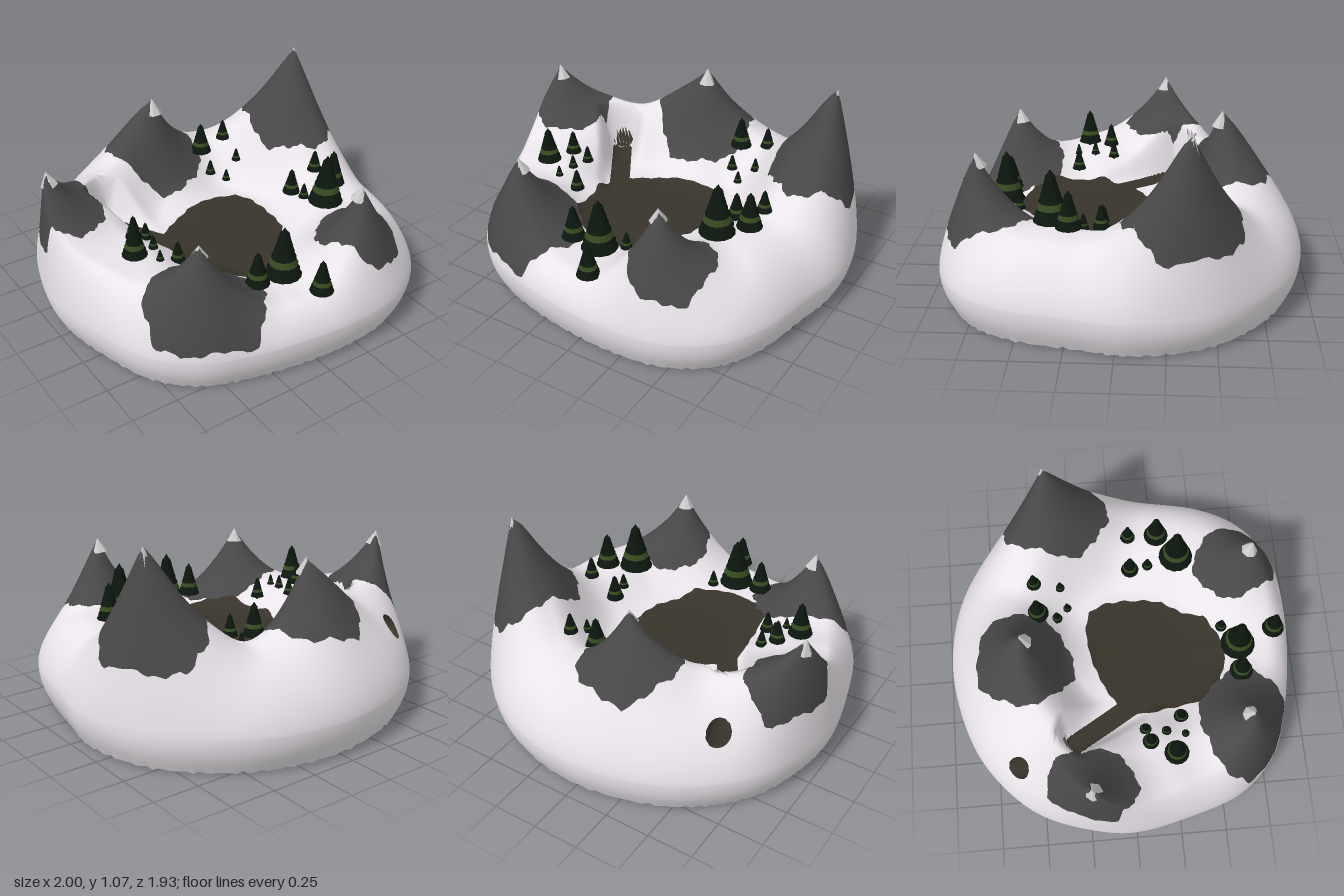
import * as THREE from 'three';

const mat = (color, flatShading = false) =>
  new THREE.MeshStandardMaterial({ color, flatShading, side: THREE.DoubleSide });
const smooth = THREE.MathUtils.smoothstep, lerp = THREE.MathUtils.lerp;

// Outline of the island: x, z, rim height, fraction of the radius where the outer wall starts
const OUTLINE = [
  [1, -.1, .52, .74], [.95, .2, .5, .72], [.87, .55, .5, .72], [.74, .77, .46, .76],
  [.5, .92, .39, .8], [.2, .96, .37, .85], [-.1, .94, .37, .85], [-.4, .88, .37, .83],
  [-.64, .79, .38, .83], [-.83, .6, .42, .83], [-.94, .3, .51, .85], [-1, 0, .53, .92],
  [-.98, -.2, .55, .93], [-.87, -.51, .62, .74], [-.7, -.71, .64, .5], [-.45, -.87, .61, .58],
  [0, -.97, .52, .7], [.4, -.905, .53, .68], [.7, -.72, .56, .7], [.91, -.46, .54, .74],
];
// Mountains: peak position and height, spread, rock patch centre and radii, lowest rock, cap height
const PEAKS = [
  { x: -.9, z: -.22, top: .86, w: .42, rock: [-.82, -.23, .2, .24], low: .46, cap: .08 },
  { x: -.09, z: -.53, top: .91, w: .46, rock: [-.1, -.54, .27, .26], low: .42, cap: .09 },
  { x: .77, z: -.36, top: 1.07, w: .55, rock: [.71, -.33, .24, .3], low: .5, cap: .14 },
  { x: -.54, z: .63, top: .76, w: .44, rock: [-.5, .64, .31, .26], low: .25, cap: .08 },
  { x: .37, z: .73, top: .82, w: .42, rock: [.41, .67, .21, .23], low: .4, cap: .08 },
];
// Bare valley floor
const FLOOR = [[-.36, -.03], [-.25, -.1], [-.1, -.17], [.1, -.2], [.23, -.17], [.28, -.06], [.28, .1], [.26, .24],
  [.18, .35], [.15, .47], [.02, .55], [-.12, .57], [-.27, .5], [-.36, .4], [-.37, .28], [-.4, .1]];
// Trees: x, z, radius
const TREES = [
  [.47, .34, .095], [.6, .24, .068], [.6, .08, .042], [.44, .08, .05], [.45, .18, .03],
  [-.04, .64, .096], [.04, .85, .062], [-.2, .64, .064], [.07, .56, .032],
  [-.66, .23, .066], [-.59, .1, .044], [-.51, .08, .032], [-.53, .19, .026], [-.44, .28, .04], [-.55, .29, .021],
  [.18, -.45, .06], [.34, -.46, .04], [.18, -.35, .03], [.34, -.32, .026], [.25, -.29, .024],
];
// Sunken path to the tunnel, and the tunnel's axis
const PATH_START = new THREE.Vector2(-.34, .02), PATH_END = new THREE.Vector2(-.54, -.31);
const TUNNEL = new THREE.Line3(new THREE.Vector3(-.55, .426, -.33), new THREE.Vector3(-.69, .45, -.7));
const BORE = .062;

const COLS = 220, INNER = 66, EDGE = 22, SKIRT = 6;

// Columns around the island, sampled from smooth closed curves
function makeColumns() {
  const ring = new THREE.CatmullRomCurve3(OUTLINE.map(([x, z, rim]) => new THREE.Vector3(x, rim, z)), true);
  const start = new THREE.CatmullRomCurve3(OUTLINE.map((o, i) => new THREE.Vector3(i, o[3], 0)), true);
  return Array.from({ length: COLS }, (_, j) => {
    const p = ring.getPoint(j / COLS);
    return { x: p.x, z: p.z, rim: p.y, e0: start.getPoint(j / COLS).y, a: Math.atan2(p.z, p.x), R: Math.hypot(p.x, p.z) };
  });
}
const columns = makeColumns();

const baseHeight = (col, rho) => lerp(.36, col.rim, smooth(rho, .31, .64));
const wallFall = (col, rho) => {
  const s = Math.min(1, Math.max(0, (rho - col.e0) / (1 - col.e0)));
  return Math.pow(1 - s * s, .65);
};
function locate(x, z) {
  const a = Math.atan2(z, x);
  const gap = c => 1 - Math.cos(c.a - a);
  const col = columns.reduce((m, c) => (gap(c) < gap(m) ? c : m));
  return [col, Math.hypot(x, z) / col.R];
}
for (const p of PEAKS) {
  const [col, rho] = locate(p.x, p.z);
  p.amp = (p.top - .2) / wallFall(col, rho) + .2 - baseHeight(col, rho);
}
// Distance to the sunken path; counted double past its end, for a steep head wall
function pathDistance(x, z) {
  const dir = PATH_END.clone().sub(PATH_START), length = dir.length();
  const p = new THREE.Vector2(x, z).sub(PATH_START);
  const along = p.dot(dir) / length, across = p.cross(dir) / length;
  return Math.hypot(across, Math.min(0, along), 2 * Math.max(0, along - length));
}
function groundHeight(col, rho, x, z) {
  let h = baseHeight(col, rho);
  for (const p of PEAKS) {
    const d = Math.hypot(x - p.x, z - p.z);
    if (d < p.w) h += p.amp * (1 - d / p.w) ** 2;
  }
  h = lerp(.36, h, smooth(pathDistance(x, z), .045, .13));
  return .2 + (h - .2) * wallFall(col, rho);
}

// Signed fields, positive inside the patch
const rockField = (x, y, z) => Math.max(...PEAKS.map(({ rock: [cx, cz, rx, rz], low }) => {
  const u = (x - cx) / rx, v = (z - cz) / rz, a = Math.atan2(v, u);
  const wobble = .04 * Math.sin(a * 5 + cx * 9) + .025 * Math.sin(a * 13 + cz * 7) + .012 * Math.sin(a * 31);
  return Math.min(1 + wobble - Math.hypot(u, v), (y - low + wobble * .3) * 4);
}));
function floorField(x, y, z) {
  let inside = false, gap = Infinity;
  FLOOR.forEach(([x1, z1], i) => {
    const [x2, z2] = FLOOR[(i + 1) % FLOOR.length], dx = x2 - x1, dz = z2 - z1;
    if ((z1 > z) !== (z2 > z) && x < x1 + dx * (z - z1) / dz) inside = !inside;
    const t = THREE.MathUtils.clamp(((x - x1) * dx + (z - z1) * dz) / (dx * dx + dz * dz), 0, 1);
    gap = Math.min(gap, Math.hypot(x - x1 - t * dx, z - z1 - t * dz));
  });
  const wobble = .006 * Math.sin(x * 47 + 1) * Math.sin(z * 53);
  return Math.max((inside ? gap : -gap) + wobble, .055 - pathDistance(x, z));
}
function boreField(x, y, z) {
  const p = new THREE.Vector3(x, y, z), axis = TUNNEL.delta(new THREE.Vector3());
  const t = p.clone().sub(TUNNEL.start).dot(axis) / axis.lengthSq();
  return Math.min(BORE - p.distanceTo(TUNNEL.at(t, axis)), (t + .15) * .4);
}

// Cuts triangles along the zero line of a field, giving [inside, outside] lists
function cutFaces(pos, faces, field) {
  const value = [], cache = new Map(), result = [[], []];
  for (let i = 0; i < pos.length; i += 3) value.push(field(pos[i], pos[i + 1], pos[i + 2]));
  const between = (a, b) => {
    const key = Math.min(a, b) + '_' + Math.max(a, b);
    if (!cache.has(key)) {
      const t = value[a] / (value[a] - value[b]);
      cache.set(key, pos.length / 3);
      for (let k = 0; k < 3; k++) pos.push(lerp(pos[a * 3 + k], pos[b * 3 + k], t));
    }
    return cache.get(key);
  };
  for (const f of faces) {
    const side = f.map(k => (value[k] > 0 ? 0 : 1));
    const sum = side[0] + side[1] + side[2];
    if (sum % 3 === 0) { result[side[0]].push(f); continue; }
    const lone = side.indexOf(sum === 1 ? 1 : 0);
    const a = f[lone], b = f[(lone + 1) % 3], c = f[(lone + 2) % 3];
    const ab = between(a, b), ac = between(a, c);
    result[side[lone]].push([a, ab, ac]);
    result[1 - side[lone]].push([ab, b, c], [ab, c, ac]);
  }
  return result;
}

// Open-bottomed shell with the tunnel mouths cut out, split into snow, rock and bare floor
function addTerrain(group) {
  const pos = [], faces = [], rows = INNER + EDGE + SKIRT;
  for (let i = 0; i <= rows; i++) for (let j = 0; j < COLS; j++) {
    const c = columns[j];
    let rho, y;
    if (i <= INNER + EDGE) {
      rho = i <= INNER ? c.e0 * i / INNER : c.e0 + (1 - c.e0) * Math.sin((i - INNER) / EDGE * Math.PI / 2);
      y = groundHeight(c, rho, c.x * rho, c.z * rho);
    } else {
      const t = (i - INNER - EDGE) / SKIRT;
      rho = 1 - .06 * t * t;
      y = .2 - .185 * t + (t === 1 ? .008 * Math.sin(j * 2.3) * Math.sin(j * .37) - .005 : 0);
    }
    pos.push(c.x * rho, Math.max(0, y), c.z * rho);
  }
  for (let i = 0; i < rows; i++) for (let j = 0; j < COLS; j++) {
    const k = (j + 1) % COLS, a = i * COLS + j, b = a + COLS, c = i * COLS + k, d = c + COLS;
    if (i > 0) faces.push([a, c, b]);
    faces.push([c, d, b]);
  }
  const ground = cutFaces(pos, faces, boreField)[1];
  const [rock, rest] = cutFaces(pos, ground, rockField);
  const [valleyFloor, snow] = cutFaces(pos, rest, floorField);
  const whole = new THREE.BufferGeometry();
  whole.setAttribute('position', new THREE.Float32BufferAttribute(pos, 3));
  whole.setIndex([...rock, ...valleyFloor, ...snow].flat());
  whole.computeVertexNormals();
  for (const [name, list, color] of [['snow', snow, 0xe9e4ea], ['rock', rock, 0x484848], ['valleyFloor', valleyFloor, 0x38342b]]) {
    const mesh = new THREE.Mesh(whole.clone().setIndex(list.flat()), mat(color));
    mesh.name = name;
    group.add(mesh);
  }
}

// Tunnel through the back left hill, its ends drawn in to meet the ground
function makeTunnel() {
  const geo = new THREE.TubeGeometry(new THREE.LineCurve3(TUNNEL.start, TUNNEL.end), 24, BORE, 24);
  const p = geo.attributes.position, v = new THREE.Vector3();
  const axis = TUNNEL.delta(new THREE.Vector3()).normalize();
  for (let i = 0; i < p.count; i++) {
    v.fromBufferAttribute(p, i);
    const step = TUNNEL.closestPointToPointParameter(v, false) < .4 ? .004 : -.004;
    for (let n = 0; n < 60 && v.y > groundHeight(...locate(v.x, v.z), v.x, v.z); n++) v.addScaledVector(axis, step);
    p.setXYZ(i, v.x, v.y, v.z);
  }
  const tunnel = new THREE.Mesh(geo, mat(0x38342b));
  tunnel.name = 'tunnel';
  return tunnel;
}

// Tiered fir tree of unit radius, built once and scaled
function makeTree() {
  const tree = new THREE.Group(), tiers = 8;
  const dark = mat(0x0c160e, true), green = mat(0x34491f, true);
  const add = (name, geometry, material, y) => {
    const mesh = new THREE.Mesh(geometry, material);
    mesh.position.y = y;
    mesh.name = name;
    tree.add(mesh);
  };
  for (let i = 0; i < tiers; i++) {
    const r = 1 - i / tiers * .88, h = 2.85 / tiers, top = i === tiers - 1 ? 0 : r * .74;
    add('branchTier', new THREE.CylinderGeometry(top, r, h * 1.1, 14), i === 2 ? green : dark, .4 + h * (i + .5));
  }
  add('trunk', new THREE.CylinderGeometry(.16, .2, .8, 6), mat(0x4a3520, true), .15);
  return tree;
}

export function createModel() {
  const group = new THREE.Group();
  group.name = 'snowyMountainValley';
  addTerrain(group);
  group.add(makeTunnel());

  // Faceted snow caps, leaning in with the steeper outer slopes
  const capMaterial = mat(0xffffff, true);
  PEAKS.forEach((p, i) => {
    const geo = new THREE.ConeGeometry(p.cap * .2 + .03, p.cap, 7, 1, true);
    const cap = new THREE.Mesh(geo.rotateY(i * 1.3).translate(0, -p.cap / 2, 0), capMaterial);
    cap.position.set(p.x, p.top + .005, p.z);
    cap.rotation.set(.2 * p.z, 0, -.2 * p.x);
    cap.name = 'snowCap';
    group.add(cap);
  });

  // Trees standing on the ground
  const fir = makeTree();
  TREES.forEach(([x, z, r], i) => {
    const tree = fir.clone();
    tree.position.set(x, groundHeight(...locate(x, z), x, z), z);
    tree.scale.setScalar(r);
    tree.rotation.y = i * 2.1;
    tree.name = 'tree';
    group.add(tree);
  });
  return group;
}
